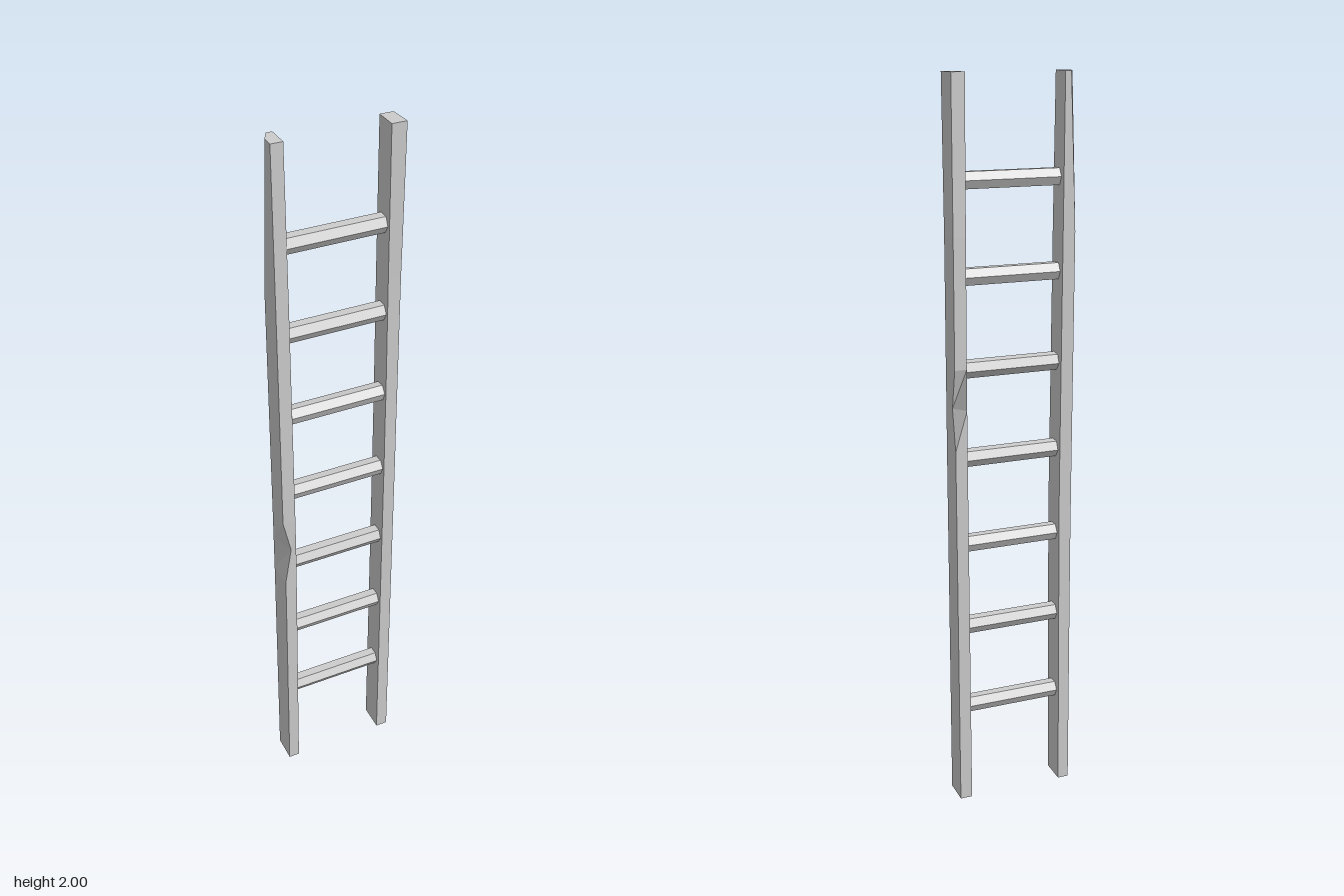
import * as THREE from 'three';

const material = new THREE.MeshStandardMaterial({
  color: 0xcccccc, flatShading: true, side: THREE.DoubleSide,
});

// Skin a rail from rings: [y, x,z, x,z, ...], corners counterclockwise from above
function railGeometry(rings) {
  const n = (rings[0].length - 1) / 2;
  const point = (r, i) => [r[1 + 2 * (i % n)], r[0], r[2 + 2 * (i % n)]];
  const pos = [];
  for (let k = 0; k < rings.length - 1; k++) {
    const a = rings[k], b = rings[k + 1];
    for (let i = 0; i < n; i++) {
      pos.push(...point(a, i), ...point(a, i + 1), ...point(b, i + 1));
      pos.push(...point(a, i), ...point(b, i + 1), ...point(b, i));
    }
  }
  const bottom = rings[0], top = rings[rings.length - 1];
  for (let i = 1; i < n - 1; i++) {
    pos.push(...point(bottom, 0), ...point(bottom, i + 1), ...point(bottom, i));
    pos.push(...point(top, 0), ...point(top, i), ...point(top, i + 1));
  }
  const g = new THREE.BufferGeometry();
  g.setAttribute('position', new THREE.Float32BufferAttribute(pos, 3));
  g.computeVertexNormals();
  return g;
}

export function createModel() {
  const ladder = new THREE.Group();
  ladder.name = 'ladder';

  const add = (name, geometry) => {
    const mesh = new THREE.Mesh(geometry, material);
    mesh.name = name;
    ladder.add(mesh);
    return mesh;
  };

  // Right rail: nick in the outer front edge, chipped outer back corner at the top
  add('rightRail', railGeometry([
    [0.00, -0.168, 0.037, -0.137, 0.037, -0.137, -0.038, -0.168, -0.038, -0.168, -0.038],
    [0.72, -0.163, 0.035, -0.131, 0.036, -0.132, -0.036, -0.166, -0.036, -0.166, -0.036],
    [0.83, -0.144, 0.033, -0.130, 0.035, -0.131, -0.036, -0.166, -0.036, -0.166, -0.036],
    [0.93, -0.166, 0.034, -0.130, 0.034, -0.131, -0.036, -0.166, -0.036, -0.166, -0.036],
    [1.60, -0.166, 0.028, -0.132, 0.028, -0.132, -0.039, -0.166, -0.039, -0.166, -0.039],
    [2.00, -0.165, 0.021, -0.133, 0.021, -0.133, -0.040, -0.149, -0.040, -0.165, -0.010],
  ]));

  // Left rail: nick in the outer back edge, back face leaning forward at the top
  add('leftRail', railGeometry([
    [0.00, 0.132, 0.038, 0.166, 0.038, 0.166, -0.037, 0.132, -0.037],
    [1.04, 0.135, 0.033, 0.168, 0.033, 0.168, -0.037, 0.135, -0.037],
    [1.15, 0.135, 0.032, 0.168, 0.032, 0.164, -0.004, 0.135, -0.037],
    [1.26, 0.135, 0.032, 0.168, 0.032, 0.168, -0.037, 0.135, -0.037],
    [1.60, 0.132, 0.033, 0.167, 0.033, 0.167, -0.035, 0.133, -0.035],
    [2.00, 0.128, 0.037, 0.168, 0.037, 0.164, -0.025, 0.128, -0.025],
  ]));

  // Seven six-sided rungs, each twisted slightly differently
  const twists = [0.02, -0.03, 0.03, -0.08, -0.12, 0.02, 0.04];
  const rungGeometry = new THREE.CylinderGeometry(0.025, 0.025, 0.274, 6);
  rungGeometry.rotateZ(Math.PI / 2);
  twists.forEach((twist, i) => {
    const rung = add('rung' + (i + 1), rungGeometry);
    rung.position.set(0, 0.28 + i * 0.243, 0.001);
    rung.rotation.x = twist;
  });

  return ladder;
}
